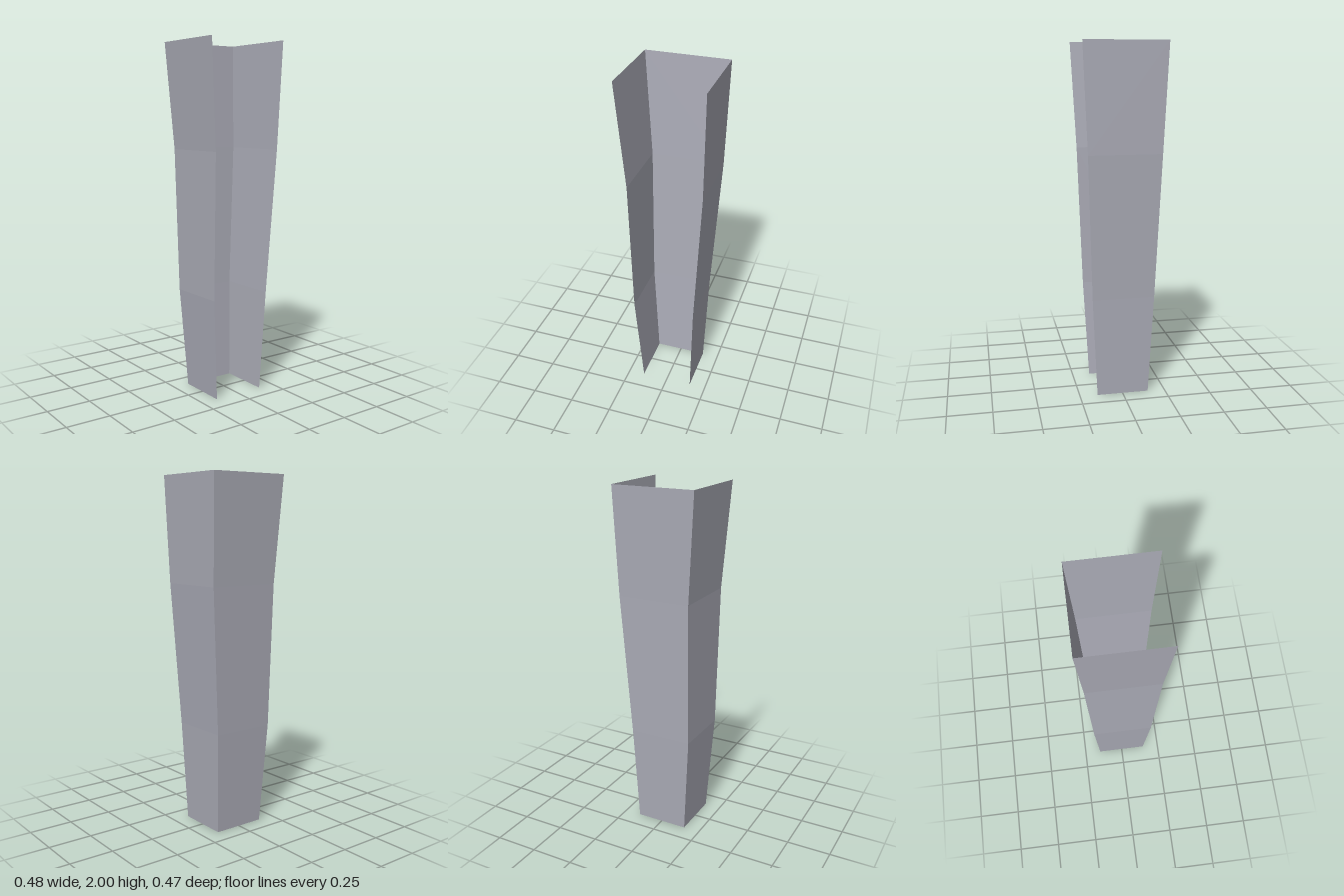
import * as THREE from 'three';

// Cross-sections from bottom to top: height, right x, left x, back z, front z
const sections = [
  { y: 0, right: -0.153, left: 0.152, back: -0.15, front: 0.148 },
  { y: 0.58, right: -0.19, left: 0.173, back: -0.178, front: 0.176 },
  { y: 1.4, right: -0.198, left: 0.223, back: -0.207, front: 0.204 },
  { y: 2, right: -0.24, left: 0.238, back: -0.234, front: 0.231 },
];

// Thin bent panel between two vertical edges, each edge given as [x key, z key]
function panel(name, a, b, material) {
  const positions = [];
  const corner = (s, edge) => [s[edge[0]], s.y, s[edge[1]]];
  for (let i = 0; i < sections.length - 1; i++) {
    const lo = sections[i], hi = sections[i + 1];
    const a0 = corner(lo, a), b0 = corner(lo, b), a1 = corner(hi, a), b1 = corner(hi, b);
    positions.push(...a0, ...b0, ...b1, ...a0, ...b1, ...a1);
  }
  const geometry = new THREE.BufferGeometry();
  geometry.setAttribute('position', new THREE.Float32BufferAttribute(positions, 3));
  geometry.computeVertexNormals();
  const mesh = new THREE.Mesh(geometry, material);
  mesh.name = name;
  return mesh;
}

export function createModel() {
  const group = new THREE.Group();
  group.name = 'flaredChannel';
  const grey = new THREE.MeshStandardMaterial({
    name: 'cool grey', color: 0xabacb7, flatShading: true, side: THREE.DoubleSide,
  });

  // Three walls, open at the front, top and bottom
  group.add(
    panel('leftWall', ['left', 'front'], ['left', 'back'], grey),
    panel('backWall', ['left', 'back'], ['right', 'back'], grey),
    panel('rightWall', ['right', 'back'], ['right', 'front'], grey),
  );
  return group;
}
